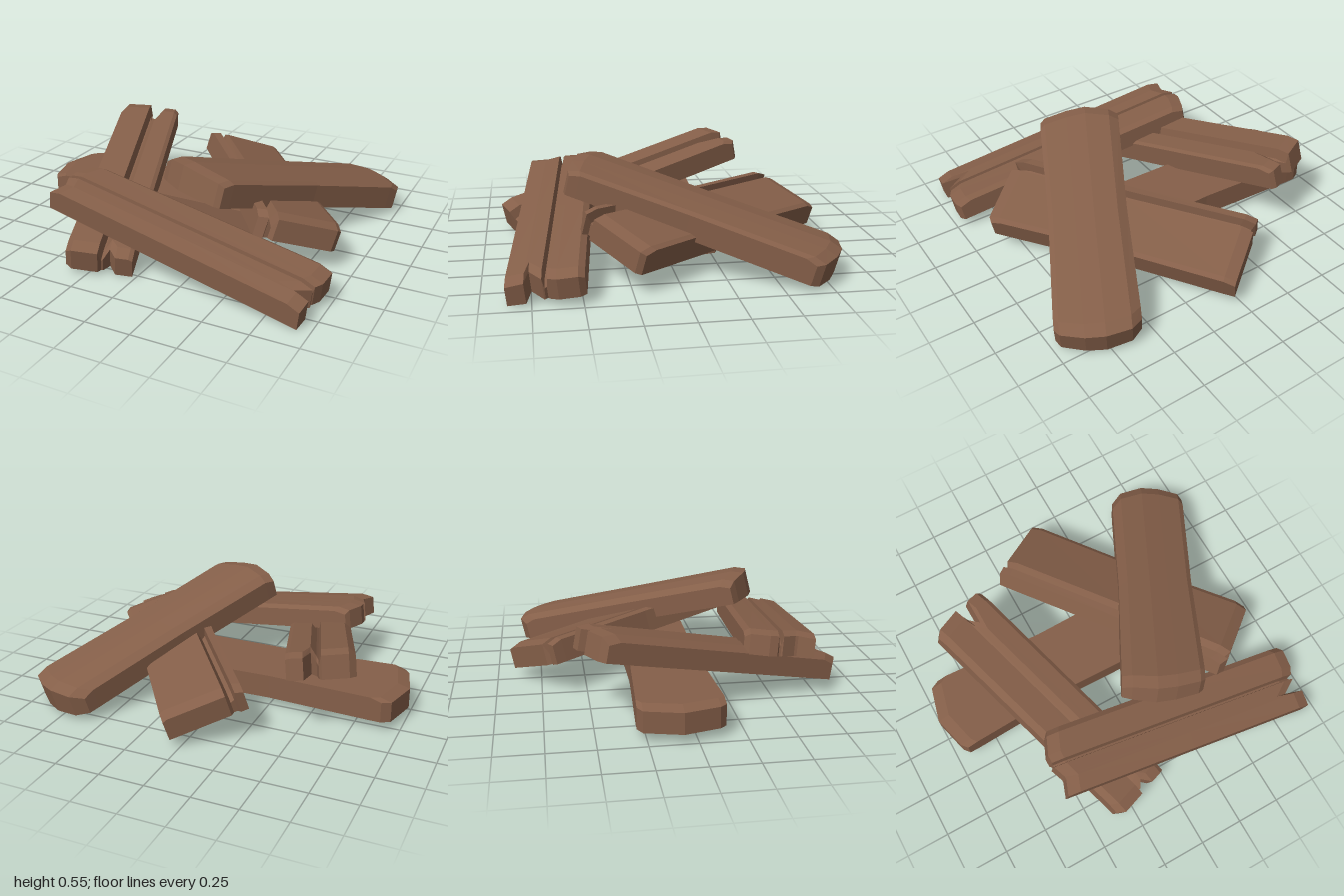
import * as THREE from 'three';

const V = (p) => new THREE.Vector3(...p);

// A rough plank on a patch of four top corners: start left/right, end left/right.
// columns run across the width: [u, top drop, start inset, end inset]
function plank(name, material, { sl, sr, el, er, thick, pinch = 0, columns }) {
  const [a, b, c, d] = [sl, sr, el, er].map(V);
  const start = a.clone().add(b), end = c.clone().add(d);
  const forward = end.clone().sub(start);
  const length = forward.length() / 2;
  const left = a.clone().sub(b).add(c).sub(d);
  const up = forward.clone().cross(left).normalize();
  const corners = [V(sl), V(sr), V(el), V(er)];

  // Rows along the length, with a small chamfer at both ends
  const rows = [[0, 0.02], [0.045, 0], [0.5, 0], [0.955, 0], [1, 0.02]];
  const top = [], bottom = [];
  rows.forEach(([t, endDrop]) => {
    const topRow = [], bottomRow = [];
    columns.forEach(([u, drop, s0, s1]) => {
      const v = THREE.MathUtils.lerp(s0 / length, 1 - s1 / length, t);
      const uu = t === 0.5 ? u + (0.5 - u) * pinch : u;
      const p = corners[0].clone().lerp(corners[1], uu)
        .lerp(corners[2].clone().lerp(corners[3], uu), v);
      topRow.push(p.clone().addScaledVector(up, -drop - endDrop));
      const q = p.clone().addScaledVector(up, -thick);
      q.y = Math.max(q.y, 0);
      bottomRow.push(q);
    });
    top.push(topRow);
    bottom.push(bottomRow);
  });

  const pos = [];
  const quad = (p, q, r, s) => [p, q, r, p, r, s].forEach((k) => pos.push(k.x, k.y, k.z));
  const n = columns.length - 1, m = rows.length - 1;
  for (let i = 0; i < m; i++) {
    for (let j = 0; j < n; j++) {
      quad(top[i][j], top[i][j + 1], top[i + 1][j + 1], top[i + 1][j]);
      quad(bottom[i][j], bottom[i + 1][j], bottom[i + 1][j + 1], bottom[i][j + 1]);
    }
    quad(top[i][0], top[i + 1][0], bottom[i + 1][0], bottom[i][0]);
    quad(top[i][n], bottom[i][n], bottom[i + 1][n], top[i + 1][n]);
  }
  for (let j = 0; j < n; j++) {
    quad(top[0][j + 1], top[0][j], bottom[0][j], bottom[0][j + 1]);
    quad(top[m][j], top[m][j + 1], bottom[m][j + 1], bottom[m][j]);
  }
  const geometry = new THREE.BufferGeometry();
  geometry.setAttribute('position', new THREE.Float32BufferAttribute(pos, 3));
  geometry.computeVertexNormals();
  const mesh = new THREE.Mesh(geometry, material);
  mesh.name = name;
  return mesh;
}

export function createModel() {
  const group = new THREE.Group();
  group.name = 'plankPile';
  const wood = new THREE.MeshStandardMaterial({ color: 0x855f49, flatShading: true });
  wood.name = 'brownWood';

  // Flat plank at the bottom, with clipped corners
  group.add(plank('basePlank', wood, {
    sl: [-1, 0.2, -0.3], sr: [-1, 0.2, 0.15], el: [0.5, 0.195, -0.27], er: [0.5, 0.195, 0.13],
    thick: 0.135, pinch: 0.1,
    columns: [[0, 0, 0.1, 0.1], [0.06, 0, 0.05, 0.04], [0.5, 0, 0, 0], [0.92, 0, 0.05, 0], [1, 0, 0.08, 0.06]],
  }));

  // Plank lying tilted on the base, split along its high edge
  group.add(plank('tiltedPlank', wood, {
    sl: [0.07, 0.2, -0.93], sr: [-0.27, 0.335, -0.69], el: [0.93, 0.255, 0.2], er: [0.58, 0.39, 0.48],
    thick: 0.14, pinch: 0.06,
    columns: [[0, 0.01, 0, 0.02], [0.06, 0, 0, 0], [0.78, 0, 0, 0], [0.82, 0.06, 0.02, 0.03],
      [0.87, 0.05, 0.02, 0.03], [0.9, 0, 0, 0], [1, 0.015, 0, 0.03]],
  }));

  // Leaning plank on the left side, split into a wide and a narrow half
  group.add(plank('leftPlank', wood, {
    sl: [-0.45, 0.5, -0.56], sr: [-0.79, 0.53, -0.45], el: [0.0, 0.155, 0.8], er: [-0.34, 0.185, 0.92],
    thick: 0.145,
    columns: [[0, 0.02, 0.02, 0], [0.06, 0.01, 0, 0], [0.25, 0.01, 0, 0], [0.36, 0.01, 0.14, 0.06],
      [0.44, 0.05, 0.08, 0.02], [0.47, 0.06, 0.02, 0.02], [0.51, 0, 0, 0], [0.9, 0, 0.02, 0], [1, 0.035, 0.05, 0.03]],
  }));

  // Long plank across the front, grooved down the middle
  group.add(plank('frontPlank', wood, {
    sl: [-0.55, 0.425, 0.33], sr: [-0.56, 0.395, 0.71], el: [0.99, 0.19, 0.5], er: [0.95, 0.145, 0.88],
    thick: 0.13,
    columns: [[0, 0.02, 0.06, 0.02], [0.08, 0, 0.04, 0], [0.35, 0, 0, 0], [0.47, 0, 0, 0.02], [0.49, 0.05, 0.01, 0.03],
      [0.52, 0.05, 0.01, 0.02], [0.54, 0, 0, 0.02], [0.72, 0, 0.03, 0.11], [0.76, 0, 0.03, 0], [1, 0.01, 0, 0]],
  }));

  // Wide top plank with a rounded low end
  group.add(plank('topPlank', wood, {
    sl: [-0.03, 0.565, 0.35], sr: [0.39, 0.545, 0.54], el: [0.6, 0.2, -0.86], er: [1.0, 0.18, -0.67],
    thick: 0.145, pinch: 0.05,
    columns: [[0, 0.03, 0.01, 0.02], [0.12, 0, -0.01, -0.04], [0.42, -0.015, -0.04, -0.07],
      [0.66, -0.01, -0.03, -0.06], [0.94, 0, 0, -0.02], [1, 0.015, 0.02, 0.02]],
  }));

  return group;
}
